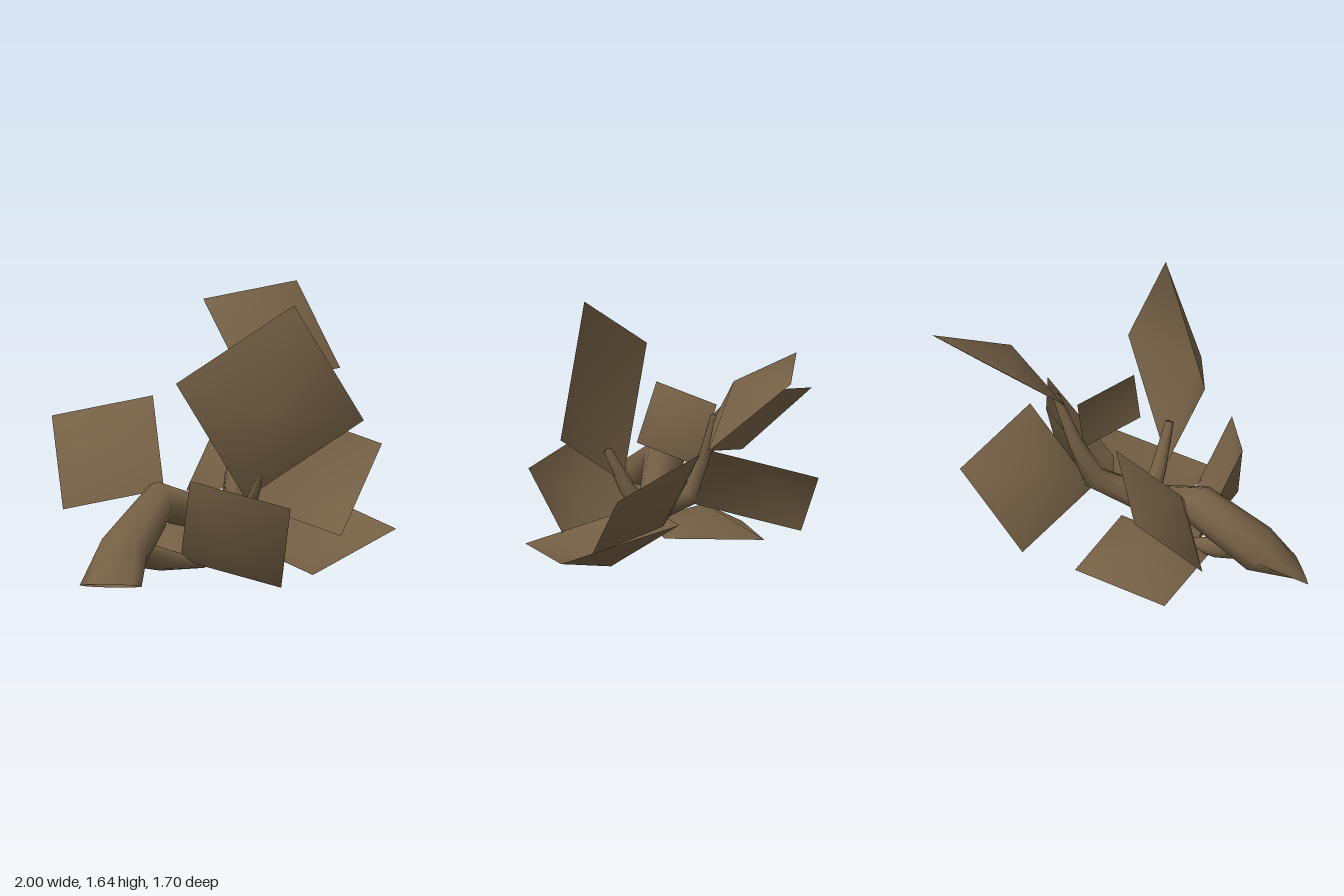
import * as THREE from 'three';

const bark = new THREE.MeshStandardMaterial({ color: 0x756045, side: THREE.DoubleSide });
bark.name = 'dry brown';

const V = (p) => new THREE.Vector3(p[0], p[1], p[2]);

function namedMesh(name, geo) {
  const mesh = new THREE.Mesh(geo, bark);
  mesh.name = name;
  return mesh;
}

// Square leaf from three corners, its middle pushed out to one side as a shallow pyramid
function makeLeaf([pa, pb, pc, side], index) {
  const a = V(pa), b = V(pb), c = V(pc);
  const d = a.clone().add(c).sub(b);
  const e1 = b.clone().sub(a), e2 = c.clone().sub(b);
  const bulge = e1.clone().cross(e2).normalize().multiplyScalar(side * 0.265 * e1.length());
  const peak = a.clone().add(c).multiplyScalar(0.5).add(bulge);
  const geo = new THREE.BufferGeometry().setFromPoints([a, b, c, d, peak]);
  geo.setIndex([0, 1, 4, 1, 2, 4, 2, 3, 4, 3, 0, 4]);
  geo.computeVertexNormals();
  return namedMesh('leaf' + (index + 1), geo);
}

// Tapered limb lofted through rings [x, y, z, radius, flatness]; the first ring may face its own way
function makeLimb(name, rings, startDir) {
  const sides = 8;
  const centres = rings.map(V);
  const points = [], index = [];
  rings.forEach(([, , , radius, flat = 1], i) => {
    const along = i === 0 && startDir ? V(startDir).normalize()
      : centres[Math.min(i + 1, rings.length - 1)].clone()
        .sub(centres[Math.max(i - 1, 0)]).normalize();
    const across = along.clone().cross(new THREE.Vector3(0, 1, 0)).normalize();
    const over = across.clone().cross(along);
    for (let j = 0; j < sides; j++) {
      const t = (j / sides) * Math.PI * 2;
      points.push(centres[i].clone()
        .addScaledVector(across, Math.cos(t) * radius)
        .addScaledVector(over, Math.sin(t) * radius * flat));
      if (i === rings.length - 1) continue;
      const p = i * sides + j, q = i * sides + (j + 1) % sides;
      index.push(p, p + sides, q, q, p + sides, q + sides);
    }
  });
  // Close the far end
  points.push(centres[rings.length - 1]);
  const last = (rings.length - 1) * sides;
  for (let j = 0; j < sides; j++) index.push(last + j, points.length - 1, last + (j + 1) % sides);
  const geo = new THREE.BufferGeometry().setFromPoints(points);
  geo.setIndex(index);
  geo.computeVertexNormals();
  return namedMesh(name, geo);
}

export function createModel() {
  const model = new THREE.Group();
  model.name = 'leafyBranch';

  // Trunk: flat flared root, a hump, a dip, then up to the tall tip
  model.add(makeLimb('trunk', [
    [-0.855, 0.108, 0.39, 0.177, 0.06],
    [-0.68, 0.245, 0.225, 0.155, 0.85],
    [-0.36, 0.47, 0.08, 0.12],
    [0.08, 0.31, 0.13, 0.088],
    [0.26, 0.5, -0.13, 0.068],
    [0.35, 0.73, -0.19, 0.044],
    [0.45, 1.02, -0.245, 0.022],
  ], [0.2, 0.15, -0.29]));

  // Side twigs
  model.add(makeLimb('frontTwig', [
    [0.09, 0.3, 0.15, 0.065], [0.12, 0.45, 0.27, 0.045], [0.14, 0.69, 0.38, 0.025],
  ]));
  model.add(makeLimb('lowerTwig', [
    [-0.6, 0.23, 0.22, 0.08], [-0.4, 0.16, 0.19, 0.065], [-0.12, 0.09, 0.17, 0.02],
  ]));

  // Leaves: three corners and the side the middle bulges to
  const leaves = new THREE.Group();
  leaves.name = 'leaves';
  [
    [[0.28, 1.64, 0.505], [-0.31, 1.18, 0.18], [0.08, 0.48, 0.295], 1],
    [[0.37, 1.39, -0.71], [0.98, 1.42, -0.71], [1.0, 1.01, -0.24], -1],
    [[0.65, 0.885, -0.24], [0.64, 0.73, -0.85], [0.27, 0.27, -0.73], 1],
    [[0.16, 1.12, 0.1], [0.28, 1.03, -0.25], [0.33, 0.675, -0.14], -1],
    [[0.59, 0.84, -0.17], [0.98, 0.685, 0.28], [0.62, 0.225, 0.445], 1],
    [[0.21, 0.14, 0.845], [0.89, 0.27, 0.605], [0.62, 0.42, -0.055], -1],
    [[-0.365, 0.675, 0.44], [0.07, 0.545, 0.835], [0.175, 0.0, 0.54], -1],
    [[-0.755, 0.38, -0.34], [-0.6, 0.82, -0.745], [-0.14, 0.96, -0.39], -1],
    [[0.065, 0.135, -0.51], [-0.48, 0.045, -0.355], [-0.335, 0.095, 0.205], 1],
  ].forEach((leaf, i) => leaves.add(makeLeaf(leaf, i)));
  model.add(leaves);

  return model;
}
